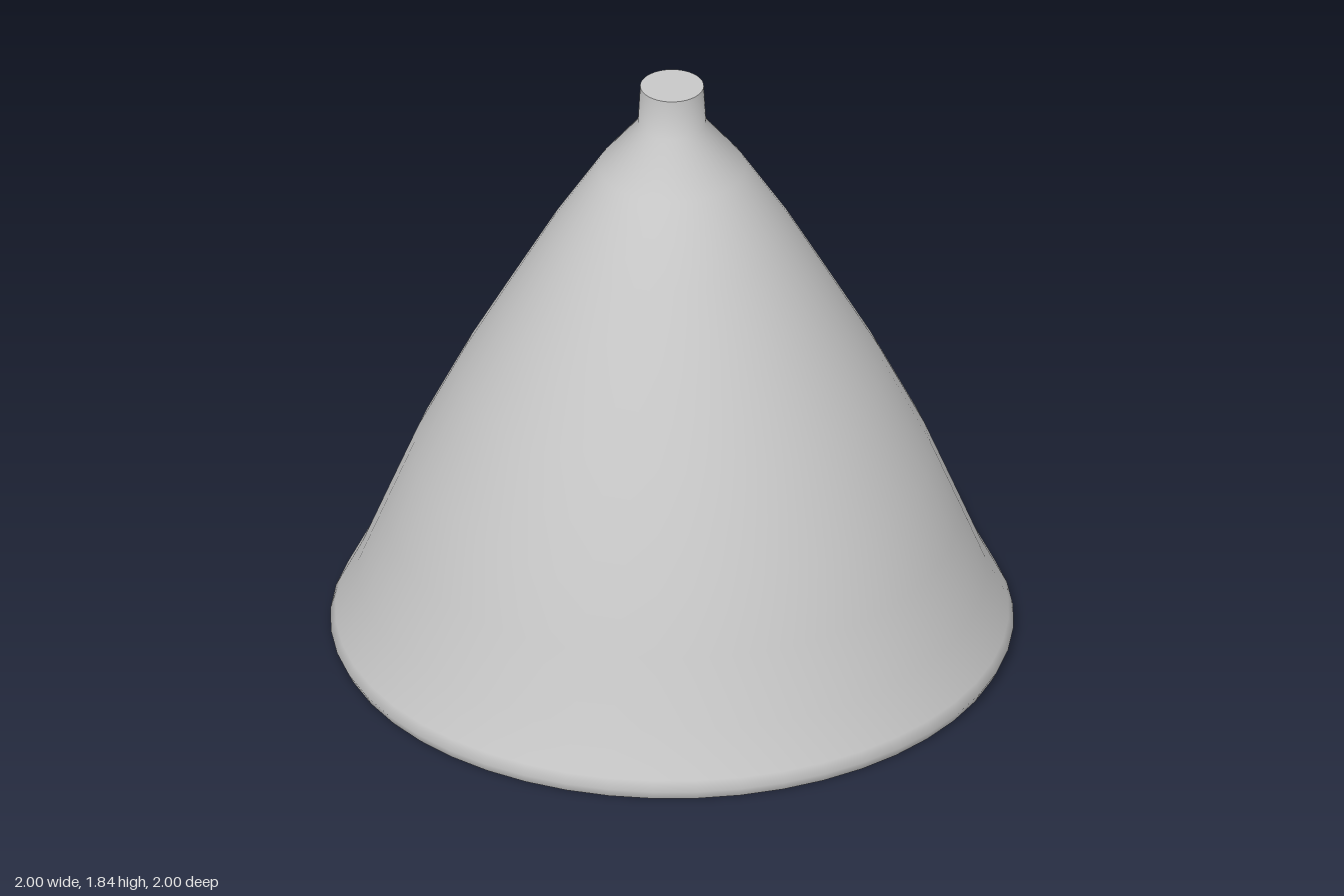
import * as THREE from 'three';

const SEGMENTS = 48;

export function createModel() {
  const group = new THREE.Group();
  group.name = 'conicalShade';
  const grey = new THREE.MeshStandardMaterial({ color: 0xc8c8c8 });
  grey.name = 'lightGrey';

  // Each profile runs counter-clockwise round the section so faces point out
  const addLathe = (name, profile) => {
    const points = profile.map(([r, y]) => new THREE.Vector2(r, y));
    const mesh = new THREE.Mesh(new THREE.LatheGeometry(points, SEGMENTS), grey);
    mesh.name = name;
    group.add(mesh);
  };

  // Flared outer wall with a bevelled lip and a short neck
  addLathe('outerWall', [
    [0.985, 0], [1, 0.03], [0.985, 0.06], [0.92, 0.19], [0.84, 0.39], [0.755, 0.6],
    [0.617, 0.88], [0.495, 1.1], [0.355, 1.35], [0.215, 1.57], [0.1, 1.715], [0.093, 1.84],
  ]);

  // Underside of the thick lip, rising slightly inwards
  addLathe('bottomRim', [[0.825, 0.017], [0.985, 0]]);

  // Hollow inside: steep behind the lip, then close to the outer wall
  addLathe('innerWall', [
    [0, 1.7], [0.05, 1.67], [0.14, 1.55], [0.28, 1.34], [0.42, 1.09],
    [0.54, 0.87], [0.675, 0.59], [0.76, 0.38], [0.81, 0.19], [0.825, 0.017],
  ]);

  // Closed top of the neck
  addLathe('neckCap', [[0.093, 1.84], [0, 1.84]]);

  return group;
}
